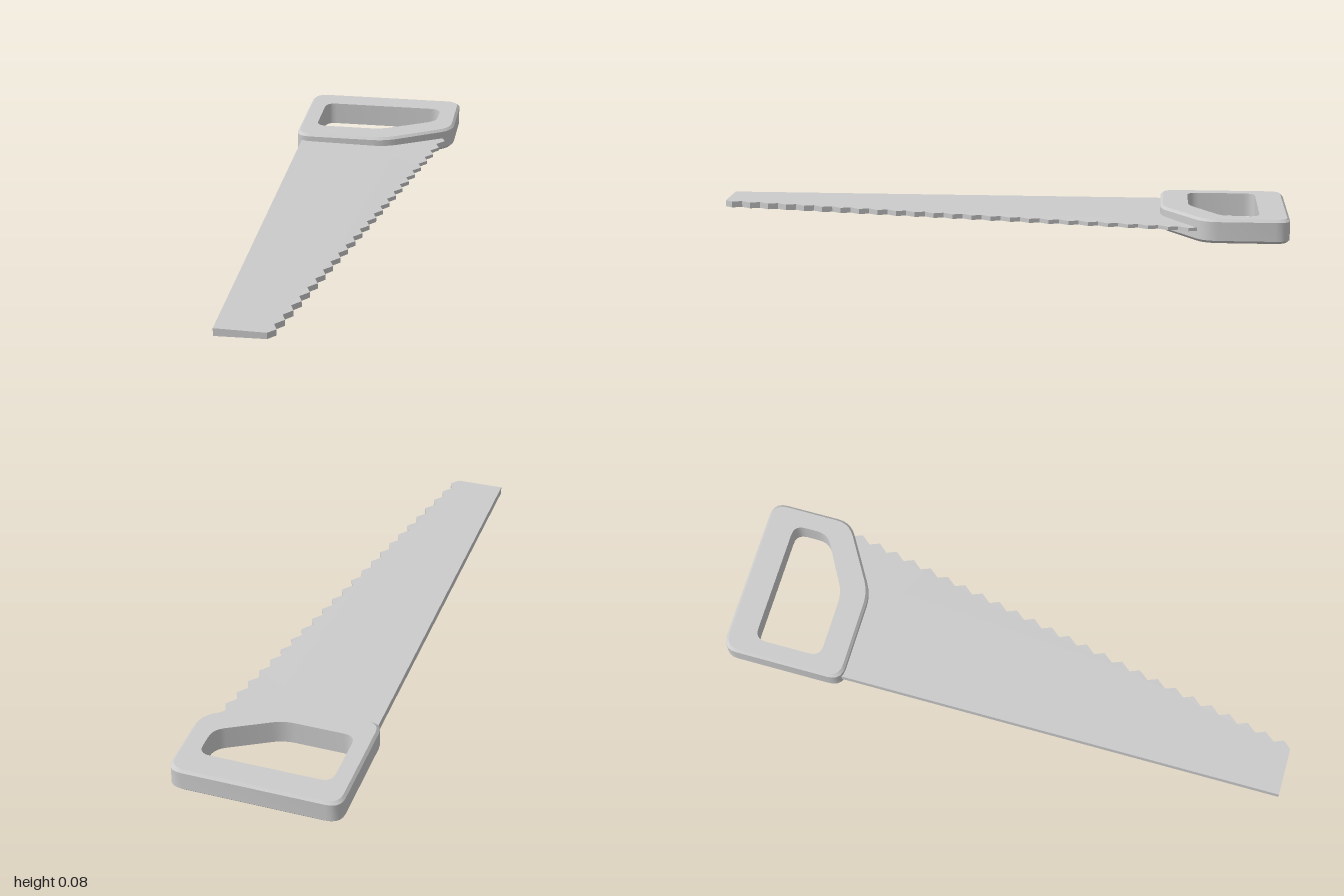
import * as THREE from 'three';
import { toCreasedNormals } from 'three/addons/utils/BufferGeometryUtils.js';

const V = (x, z) => new THREE.Vector2(x, z);

// Points of a closed polygon with rounded corners
function roundedOutline(corners, radius) {
  const path = new THREE.Path();
  corners.forEach((c, i) => {
    const toward = (q) => c.clone().add(q.clone().sub(c).setLength(radius));
    const a = toward(corners.at(i - 1));
    const b = toward(corners[(i + 1) % corners.length]);
    if (i === 0) path.moveTo(a.x, a.y);
    else path.lineTo(a.x, a.y);
    path.quadraticCurveTo(c.x, c.y, b.x, b.y);
  });
  return path.getPoints(5);
}

// Extrude an (x, z) shape so that it lies flat, filling y = 0..1
function flatExtrude(shape, steps) {
  const geo = new THREE.ExtrudeGeometry(shape, { depth: 1, steps, bevelEnabled: false });
  return geo.rotateX(Math.PI / 2).translate(0, 1, 0);
}

function makeMesh(name, geo, crease) {
  geo.deleteAttribute('uv');
  const mesh = new THREE.Mesh(toCreasedNormals(geo, crease), new THREE.MeshStandardMaterial({ color: 0xcccccc }));
  mesh.name = name;
  return mesh;
}

// Closed grip with a chamfered outer rim and a straight-walled hand hole
function makeHandle() {
  const height = 0.082, chamfer = 0.009, midZ = -0.782;
  const outer = roundedOutline([V(-0.291, -1), V(0.291, -1), V(0.291, -0.71), V(0.05, -0.564), V(-0.291, -0.564)], 0.05);
  const hole = roundedOutline([V(-0.228, -0.9), V(0.222, -0.9), V(0.222, -0.775), V(0.02, -0.66), V(-0.228, -0.66)], 0.04);
  const shape = new THREE.Shape(outer);
  shape.holes.push(new THREE.Path(hole));
  const geo = flatExtrude(shape, 3);
  const layers = [0, chamfer, height - chamfer, height];
  const pos = geo.attributes.position;
  for (let i = 0; i < pos.count; i++) {
    const layer = Math.round(pos.getY(i) * 3);
    const p = V(pos.getX(i), pos.getZ(i));
    const onHole = hole.some((q) => q.distanceTo(p) < 1e-4);
    if (!onHole && layer % 3 === 0) {
      p.x *= 1 - chamfer / 0.291;
      p.y = midZ + (p.y - midZ) * (1 - chamfer / 0.218);
    }
    pos.setXYZ(i, p.x, layers[layer], p.y);
  }
  return makeMesh('handle', geo, 0.6);
}

// Tapered blade: saw teeth along one edge, thinning from spine to teeth
function makeBlade() {
  const teeth = 24, pitch = 0.068, rise = 0.0142;
  const points = [V(-0.27, -0.59), V(-0.27, 1), V(-0.1, 1)];
  for (let i = 0; i <= teeth; i++) {
    const x = -0.075 + i * rise, z = 0.972 - i * pitch;
    points.push(V(x, z));
    if (i < teeth) points.push(V(x - 0.014, z - 0.034));
  }
  points.push(V(0.25, -0.7), V(0.04, -0.59));
  const geo = flatExtrude(new THREE.Shape(points), 1);
  const pos = geo.attributes.position;
  for (let i = 0; i < pos.count; i++) {
    const thickness = THREE.MathUtils.mapLinear(pos.getX(i), -0.27, 0.265, 0.027, 0.011);
    pos.setY(i, 0.041 + (pos.getY(i) - 0.5) * thickness);
  }
  return makeMesh('blade', geo, 0.3);
}

export function createModel() {
  const saw = new THREE.Group();
  saw.name = 'handSaw';
  saw.add(makeHandle(), makeBlade());
  return saw;
}
